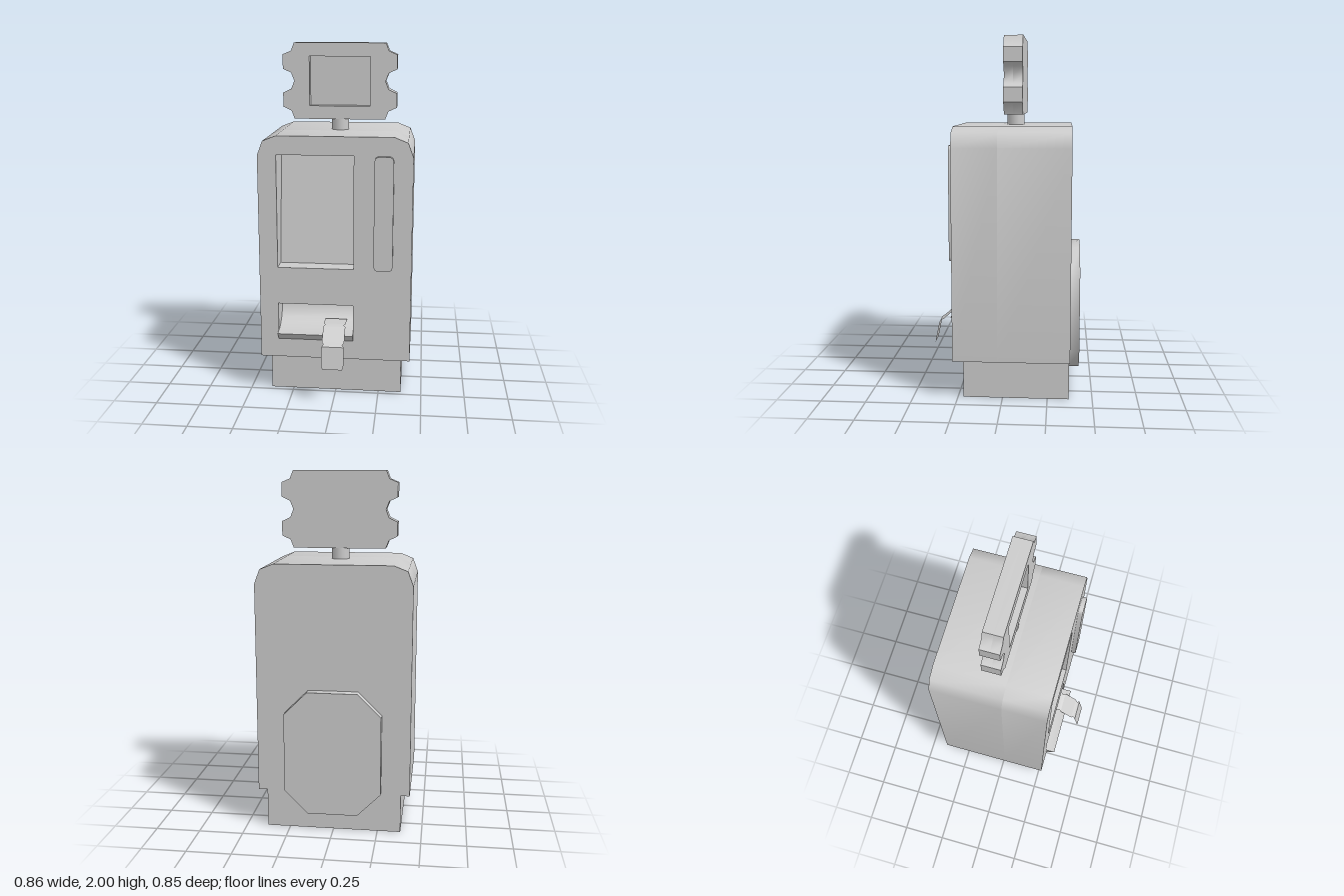
import * as THREE from 'three';
import { toCreasedNormals } from 'three/addons/utils/BufferGeometryUtils.js';

const grey = new THREE.MeshStandardMaterial({ color: 0xcccccc });
const greyThin = new THREE.MeshStandardMaterial({ color: 0xcccccc, side: THREE.DoubleSide });

const toPoints = (list) => list.map(([x, y]) => new THREE.Vector2(x, y));

// Closed outline from its right half, listed from top to bottom
const mirrored = (half) => [...half, ...half.map(([x, y]) => [-x, y]).reverse()];

const rect = (x0, x1, y0, y1) => [[x0, y0], [x1, y0], [x1, y1], [x0, y1]];

// Outline extruded from z0 to z1, with optional holes
function slab(name, outline, z0, z1, holes = []) {
  const shape = new THREE.Shape(toPoints(outline));
  holes.forEach((h) => shape.holes.push(new THREE.Path(toPoints(h))));
  const geo = new THREE.ExtrudeGeometry(shape, { depth: z1 - z0, bevelEnabled: false });
  geo.translate(0, 0, z0);
  return named(name, toCreasedNormals(geo, 0.9));
}

// Side profile of [z, y] points extruded across x
function sideProfile(name, profile, x0, x1) {
  const geo = new THREE.ExtrudeGeometry(new THREE.Shape(toPoints(profile)), { depth: x1 - x0, bevelEnabled: false });
  geo.rotateY(-Math.PI / 2).translate(x1, 0, 0);
  return named(name, toCreasedNormals(geo, 0.6));
}

function named(name, geo, material = grey) {
  const mesh = new THREE.Mesh(geo, material);
  mesh.name = name;
  return mesh;
}

// Thin paper strip through rows of [half width, y, z]
function paperStrip(name, rows) {
  const positions = [];
  for (let i = 0; i < rows.length - 1; i++) {
    const [w0, y0, z0] = rows[i];
    const [w1, y1, z1] = rows[i + 1];
    positions.push(-w0, y0, z0, -w1, y1, z1, w1, y1, z1);
    positions.push(-w0, y0, z0, w1, y1, z1, w0, y0, z0);
  }
  const geo = new THREE.BufferGeometry();
  geo.setAttribute('position', new THREE.Float32BufferAttribute(positions, 3));
  geo.computeVertexNormals();
  return named(name, geo, greyThin);
}

export function createModel() {
  const model = new THREE.Group();
  model.name = 'ticketMachine';

  // Plinth
  const plinth = new THREE.BoxGeometry(0.76, 0.22, 0.59);
  plinth.translate(0, 0.11, -0.075);
  model.add(named('plinth', plinth));

  // Cabinet: solid rear and a front shell with two openings
  const cabinet = mirrored([[0.325, 1.51], [0.4, 1.48], [0.43, 1.4], [0.43, 0.22]]);
  const screenHole = rect(-0.325, 0.105, 0.76, 1.405);
  const trayHole = rect(-0.325, 0.105, 0.33, 0.545);
  model.add(slab('cabinetRear', cabinet, -0.375, 0.025));
  model.add(slab('cabinetFront', cabinet, 0.025, 0.275, [screenHole, trayHole]));

  // Tilted screen in the upper opening
  model.add(sideProfile('screen', [[0.02, 0.76], [0.175, 0.76], [0.085, 1.405], [0.02, 1.405]], -0.325, 0.105));

  // Curved chute with a pointed lip in the lower opening
  const chute = [[0.02, 0.33], [0.275, 0.33], [0.328, 0.38], [0.275, 0.38]];
  for (let i = 1; i <= 6; i++) {
    const a = (i / 6) * Math.PI / 2;
    chute.push([0.275 - 0.145 * Math.sin(a), 0.545 - 0.165 * Math.cos(a)]);
  }
  chute.push([0.02, 0.545]);
  model.add(sideProfile('ticketChute', chute, -0.325, 0.105));

  // Notched tickets hanging out of the chute
  model.add(paperStrip('ticketStrip', [
    [0.063, 0.435, 0.2], [0.063, 0.433, 0.275], [0.053, 0.43, 0.287], [0.063, 0.425, 0.3],
    [0.063, 0.358, 0.375], [0.053, 0.35, 0.387], [0.063, 0.34, 0.4],
    [0.063, 0.23, 0.423], [0.055, 0.215, 0.426],
  ]));

  // Raised bar beside the screen
  const bar = mirrored([[0.033, 1.405], [0.047, 1.397], [0.053, 1.38], [0.053, 0.785], [0.047, 0.768], [0.033, 0.76]]);
  model.add(slab('sideBar', bar.map(([x, y]) => [x + 0.272, y]), 0.27, 0.302));

  // Rear access panel with cut corners
  const panel = mirrored([[0.14, 0.815], [0.27, 0.685], [0.27, 0.24], [0.14, 0.11]]);
  model.add(slab('rearPanel', panel, -0.428, -0.37));

  // Sign post
  const post = new THREE.CylinderGeometry(0.05, 0.05, 0.08, 16);
  post.translate(0, 1.54, -0.052);
  model.add(named('signPost', post));

  // Ticket-shaped sign with a recessed face
  const ticket = mirrored([
    [0.26, 2], [0.278, 1.955], [0.325, 1.935], [0.325, 1.855], [0.278, 1.833], [0.26, 1.787],
    [0.278, 1.742], [0.325, 1.72], [0.325, 1.64], [0.278, 1.618], [0.26, 1.572],
  ]);
  model.add(slab('signBack', ticket, -0.105, -0.05));
  model.add(slab('signFrame', ticket, -0.05, 0, [rect(-0.173, 0.173, 1.647, 1.925)]));

  return model;
}
